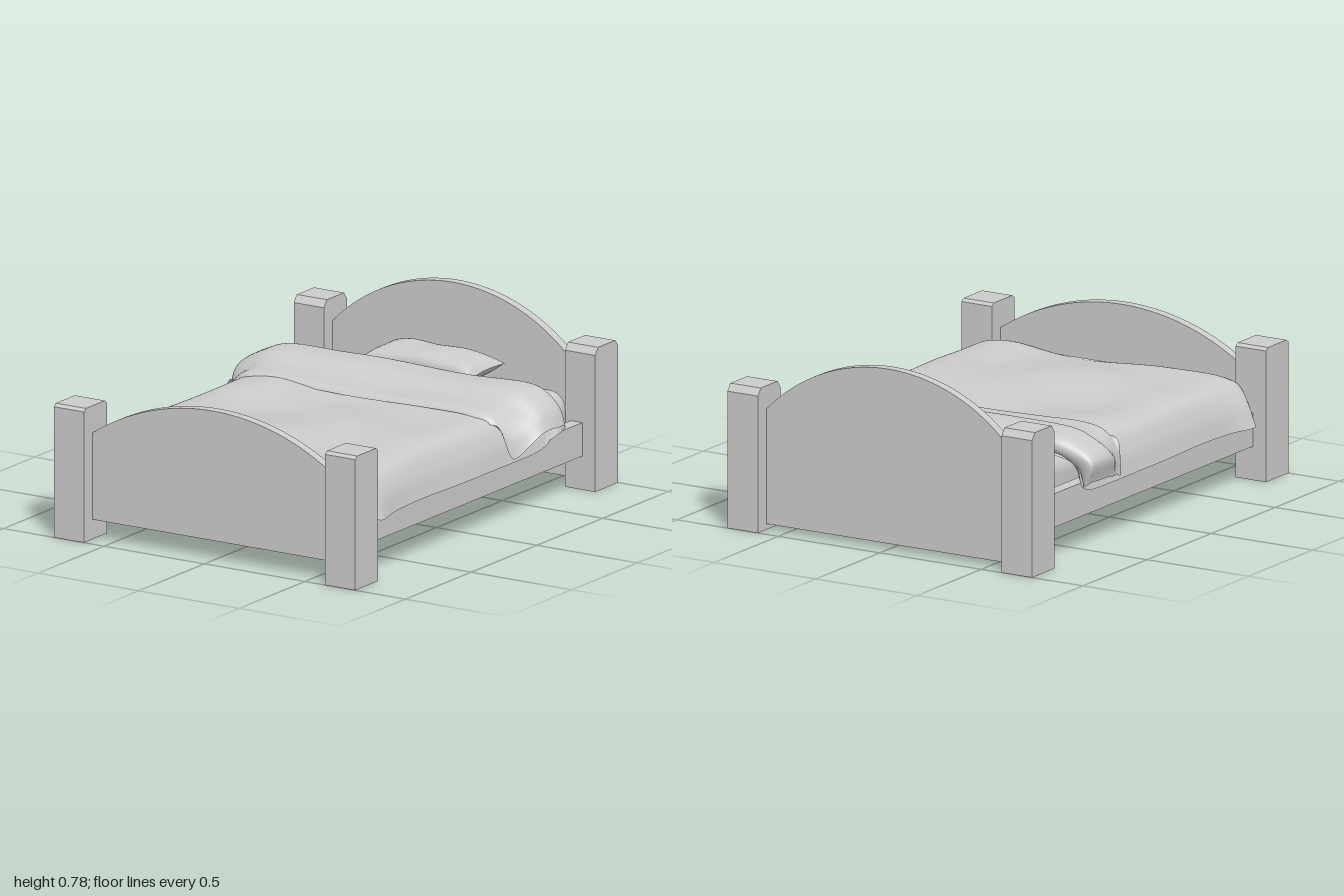
import * as THREE from 'three';
import { RoundedBoxGeometry } from 'three/addons/geometries/RoundedBoxGeometry.js';
import { ParametricGeometry } from 'three/addons/geometries/ParametricGeometry.js';

const solid = new THREE.MeshStandardMaterial({ color: 0xcccccc });
const cloth = new THREE.MeshStandardMaterial({ color: 0xcccccc, side: THREE.DoubleSide });

export function createModel() {
  const bed = new THREE.Group();
  bed.name = 'bed';

  function add(name, geometry, x = 0, y = 0, z = 0, material = solid) {
    const mesh = new THREE.Mesh(geometry, material);
    mesh.name = name;
    mesh.position.set(x, y, z);
    bed.add(mesh);
    return mesh;
  }

  // Corner post: side outline with two chamfered top edges, extruded across x
  function postGeometry(height, cz, cy) {
    const h = 0.0875, w = 0.15;
    const outline = new THREE.Shape([
      [-h, 0], [h, 0], [h, height - cy], [h - cz, height], [-h + cz, height], [-h, height - cy],
    ].map(([a, b]) => new THREE.Vector2(a, b)));
    return new THREE.ExtrudeGeometry(outline, { depth: w, bevelEnabled: false })
      .rotateY(-Math.PI / 2).translate(w / 2, 0, 0);
  }

  // End board: straight sides with a circular arc along the top
  function boardGeometry(bottom, edge, apex) {
    const half = 0.6, rise = apex - edge;
    const r = (half * half + rise * rise) / (2 * rise);
    const a = Math.asin(half / r);
    const shape = new THREE.Shape();
    shape.moveTo(-half, bottom);
    shape.lineTo(half, bottom);
    shape.lineTo(half, edge);
    shape.absarc(0, apex - r, r, Math.PI / 2 - a, Math.PI / 2 + a, false);
    shape.closePath();
    return new THREE.ExtrudeGeometry(shape, { depth: 0.044, bevelEnabled: false, curveSegments: 40 })
      .translate(0, 0, -0.022);
  }

  // Frame
  for (const [side, s] of [['left', 1], ['right', -1]]) {
    add(side + 'FrontPost', postGeometry(0.577, 0.015, 0.012), s * 0.675, 0, 0.9125);
    add(side + 'BackPost', postGeometry(0.62, 0.022, 0.03), s * 0.675, 0, -0.9125);
    add(side + 'Rail', new THREE.BoxGeometry(0.057, 0.145, 1.66), s * 0.657, 0.2175, 0);
  }
  add('footboard', boardGeometry(0.085, 0.46, 0.645), 0, 0, 0.912);
  add('headboard', boardGeometry(0.025, 0.52, 0.777), 0, 0, -0.912);

  // Mattress
  add('mattress', new RoundedBoxGeometry(1.22, 0.335, 1.745, 8, 0.085), 0, 0.2475, 0);

  // Draped sheet lofted through rows running along z. Each row holds
  // z, top, hemZ, shoulderX, then midX, hemX, hemY for the left and for the right side
  function drape(rows, wrinkle, stacks) {
    const n = rows[0].length;
    const spline = new THREE.CubicInterpolant(rows.map((_, i) => i), rows.flat(), n, new Float32Array(n));
    let lastV = -1, curve;
    const geometry = new ParametricGeometry((u, v, target) => {
      if (v !== lastV) {
        lastV = v;
        const [z, top, hemZ, sh, midL, hemL, yL, midR, hemR, yR] = spline.evaluate(v * (rows.length - 1));
        const half = (s, mid, hem, y) => [
          [0.3, top, z], [sh - 0.07, top, z], [sh, top - 0.02, z + (hemZ - z) * 0.3],
          [mid, top + (y - top) * 0.5, z + (hemZ - z) * 0.7], [hem, y, hemZ],
        ].map(([a, b, c]) => new THREE.Vector3(s * a, b, c));
        curve = new THREE.CatmullRomCurve3([
          ...half(-1, midR, hemR, yR).reverse(), new THREE.Vector3(0, top, z), ...half(1, midL, hemL, yL),
        ]);
      }
      curve.getPoint(u, target);
      target.y += wrinkle(target.x, target.z);
    }, 72, stacks);
    geometry.computeVertexNormals();
    return geometry;
  }

  // Blanket
  const even = (z, top, mid, hem, y, hemZ = z) => [z, top, hemZ, 0.625, mid, hem, y, mid, hem, y];
  const blanketWaves = (x, z) => {
    const flat = THREE.MathUtils.smoothstep(0.66 - Math.abs(x), 0, 0.3);
    return flat * (0.009 * Math.sin(7 * z + 3 * x + 5) + 0.007 * Math.sin(13 * z - 6 * x + 1)
      + 0.006 * Math.sin(9 * x + 4 * z));
  };
  add('blanket', drape([
    even(0.815, 0.425, 0.675, 0.71, 0.26, 0.795),
    even(0.76, 0.438, 0.69, 0.732, 0.245),
    even(0.62, 0.44, 0.68, 0.705, 0.248),
    even(0.4, 0.444, 0.672, 0.697, 0.25),
    even(0.15, 0.44, 0.672, 0.698, 0.246),
    even(-0.1, 0.44, 0.675, 0.7, 0.246),
    even(-0.3, 0.44, 0.675, 0.7, 0.246),
    even(-0.46, 0.435, 0.68, 0.705, 0.252),
    even(-0.55, 0.43, 0.69, 0.71, 0.285),
    even(-0.595, 0.43, 0.69, 0.72, 0.36, -0.585),
  ], blanketWaves, 72), 0, 0, 0, cloth);

  // Turned-back end of the blanket, curling under at the head side
  const foldWaves = (x, z) => 0.004 * Math.sin(8 * x + 6 * z);
  add('blanketFold', drape([
    [-0.2, 0.44, -0.215, 0.62, 0.665, 0.685, 0.39, 0.665, 0.685, 0.39],
    [-0.225, 0.458, -0.25, 0.63, 0.69, 0.715, 0.275, 0.69, 0.715, 0.28],
    [-0.3, 0.462, -0.31, 0.64, 0.71, 0.75, 0.31, 0.715, 0.73, 0.29],
    [-0.37, 0.472, -0.37, 0.65, 0.725, 0.775, 0.355, 0.755, 0.755, 0.3],
    [-0.43, 0.5, -0.43, 0.665, 0.74, 0.78, 0.365, 0.778, 0.765, 0.31],
    [-0.51, 0.505, -0.5, 0.67, 0.745, 0.78, 0.36, 0.782, 0.765, 0.31],
    [-0.58, 0.498, -0.55, 0.67, 0.74, 0.775, 0.355, 0.78, 0.76, 0.31],
    [-0.612, 0.47, -0.572, 0.665, 0.735, 0.765, 0.335, 0.77, 0.75, 0.3],
    [-0.6, 0.435, -0.565, 0.65, 0.71, 0.73, 0.3, 0.72, 0.73, 0.29],
    [-0.53, 0.425, -0.52, 0.63, 0.68, 0.705, 0.275, 0.68, 0.705, 0.275],
  ], foldWaves, 64), 0, 0, 0, cloth);

  // Pillow: rounded sections along x, pinched at the ends, with the sides drawn in
  const pillow = new ParametricGeometry((u, v, target) => {
    const t = 2 * u - 1, a = v * Math.PI * 2;
    const c = Math.cos(a), s = Math.sin(a);
    const puff = Math.pow(Math.max(0, 1 - t ** 4), 0.6);
    const d = Math.sign(c) * Math.pow(Math.abs(c), 0.65);
    const x = t * (0.268 + 0.018 * d * d);
    const z = d * (0.106 + 0.015 * t * t);
    const y = Math.sign(s) * Math.pow(Math.abs(s), 0.9) * 0.06 * puff;
    target.set(x, y + 0.003 * puff * Math.sin(24 * x + 17 * z), z);
  }, 36, 40);
  pillow.computeVertexNormals();
  const pillowMesh = add('pillow', pillow, -0.005, 0.473, -0.738, cloth);
  pillowMesh.rotation.set(0.06, -0.03, 0);

  return bed;
}
